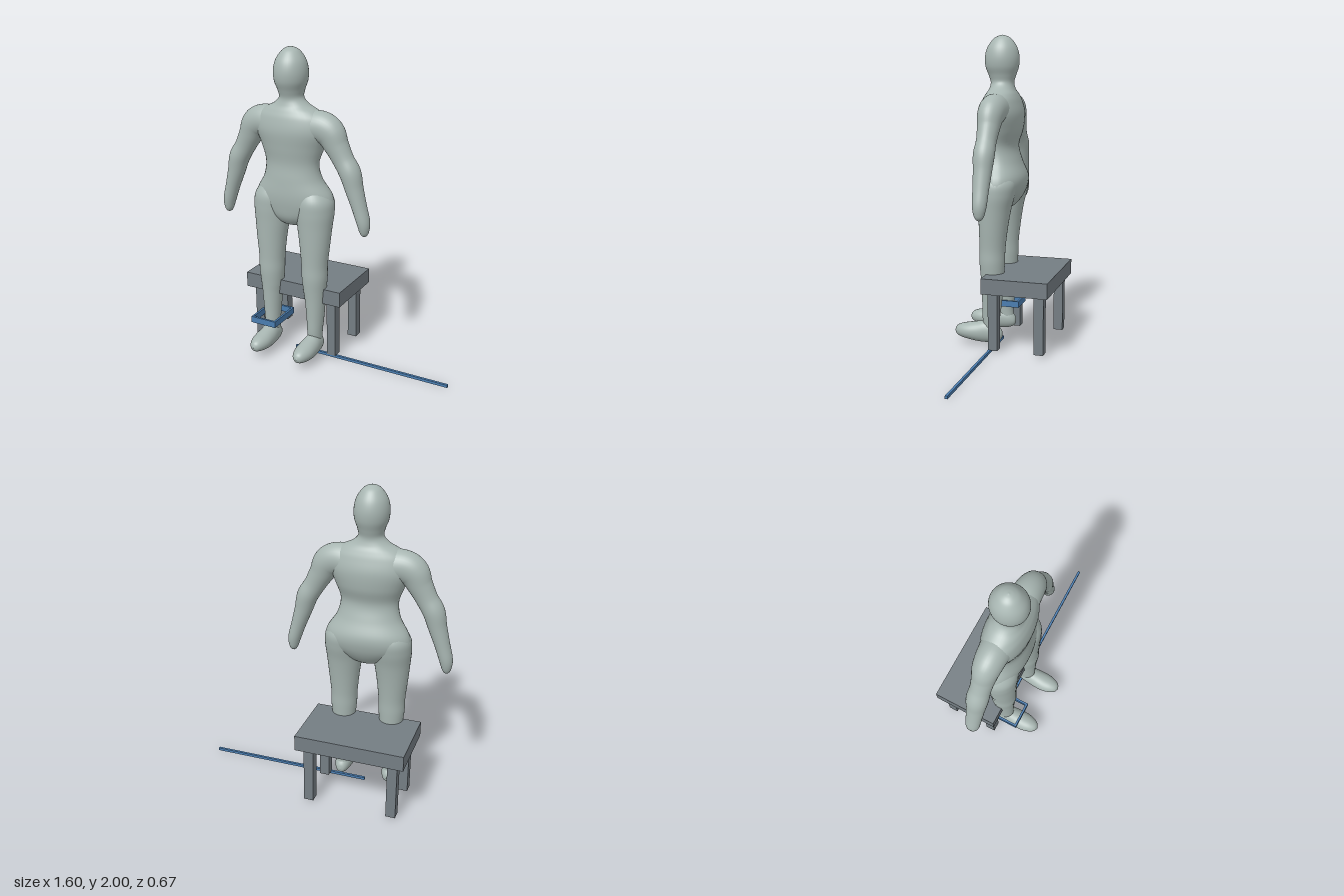
import * as THREE from 'three';

const mat = (name, color) => Object.assign(new THREE.MeshStandardMaterial({ color }), { name });
const MID = -0.275; // x of the figure's own centre line

// Smooth skin over elliptical rings. Each station: [x, y, z, radiusA, radiusB].
// 'depth' is the ring axis for radiusB; 'fixed' keeps all rings square to one direction.
function loft(stations, depth, fixed, steps = 6, sides = 36) {
  const path = new THREE.CatmullRomCurve3(stations.map(s => new THREE.Vector3(s[0], s[1], s[2])), false, 'catmullrom', 0.5);
  const radii = new THREE.CatmullRomCurve3(stations.map(s => new THREE.Vector3(s[3], s[4], 0)), false, 'catmullrom', 0.5);
  const n = (stations.length - 1) * steps;
  const pos = [], index = [];
  for (let i = 0; i <= n; i++) {
    const c = path.getPoint(i / n), r = radii.getPoint(i / n);
    const t = fixed || path.getTangent(i / n);
    const a = new THREE.Vector3().crossVectors(depth, t).normalize();
    for (let j = 0; j < sides; j++) {
      const u = j / sides * Math.PI * 2;
      const p = c.clone()
        .addScaledVector(a, Math.cos(u) * Math.max(r.x, 0.001))
        .addScaledVector(depth, Math.sin(u) * Math.max(r.y, 0.001));
      pos.push(p.x, p.y, p.z);
      if (i < n) {
        const k = (j + 1) % sides, lo = i * sides, hi = lo + sides;
        index.push(lo + j, lo + k, hi + k, lo + j, hi + k, hi + j);
      }
    }
  }
  const g = new THREE.BufferGeometry();
  g.setAttribute('position', new THREE.Float32BufferAttribute(pos, 3));
  g.setIndex(index);
  g.computeVertexNormals();
  return g;
}

export function createModel() {
  const model = new THREE.Group();
  const skin = mat('paleGrey', 0xa8b6b2);
  const slate = mat('slateGrey', 0x747d83);
  const blue = mat('blue', 0x4a7db0);
  const X = new THREE.Vector3(1, 0, 0), Y = new THREE.Vector3(0, 1, 0), Z = new THREE.Vector3(0, 0, 1);

  const add = (parent, name, geometry, material) => {
    const m = new THREE.Mesh(geometry, material);
    m.name = name;
    parent.add(m);
    return m;
  };
  // Box given by its low and high limits on each axis
  const box = (parent, name, material, x0, x1, y0, y1, z0, z1) =>
    add(parent, name, new THREE.BoxGeometry(x1 - x0, y1 - y0, z1 - z0), material)
      .position.set((x0 + x1) / 2, (y0 + y1) / 2, (z0 + z1) / 2);

  // Figure
  const figure = new THREE.Group();
  figure.name = 'figure';
  figure.position.x = MID;
  model.add(figure);

  // Torso, neck and head: [height, half width, back z, front z]
  const trunk = [
    [0.885, 0.002, 0.05, 0.06], [0.90, 0.08, -0.01, 0.11], [0.95, 0.18, -0.06, 0.15],
    [1.02, 0.262, -0.095, 0.167], [1.10, 0.258, -0.105, 0.175], [1.20, 0.198, -0.07, 0.17],
    [1.30, 0.18, -0.045, 0.162], [1.40, 0.212, -0.072, 0.174], [1.50, 0.25, -0.08, 0.184],
    [1.58, 0.235, -0.062, 0.172], [1.625, 0.185, -0.045, 0.155], [1.66, 0.115, -0.028, 0.138],
    [1.70, 0.077, -0.02, 0.13], [1.745, 0.082, -0.032, 0.143], [1.80, 0.101, -0.05, 0.164],
    [1.86, 0.105, -0.054, 0.168], [1.92, 0.092, -0.04, 0.153], [1.97, 0.06, -0.008, 0.118],
    [1.992, 0.03, 0.025, 0.086], [2.0, 0.001, 0.054, 0.056],
  ];
  add(figure, 'torsoAndHead', loft(trunk.map(([y, w, b, f]) => [0, y, (b + f) / 2, w, (f - b) / 2]), Z, Y), skin);

  for (const s of [1, -1]) {
    const side = s > 0 ? 'left' : 'right';

    // Arm from inside the chest to the fingertips
    const arm = [
      [0.08, 1.515, 0.11, 0.10], [0.19, 1.535, 0.10, 0.09], [0.26, 1.505, 0.095, 0.082],
      [0.305, 1.43, 0.076, 0.07], [0.35, 1.35, 0.066, 0.062], [0.395, 1.275, 0.066, 0.066],
      [0.423, 1.18, 0.056, 0.058], [0.458, 1.07, 0.046, 0.05], [0.485, 0.98, 0.041, 0.045],
      [0.492, 0.925, 0.031, 0.034], [0.492, 0.897, 0.018, 0.02], [0.491, 0.885, 0.001, 0.001],
    ];
    add(figure, side + 'Arm', loft(arm.map(([x, y, a, b]) => [s * x, y, 0.052, a, b]), Z), skin);

    // Leg from ankle to hip: [x, y, half width, back z, front z]
    const leg = [
      [0.16, 0.09, 0.045, 0.02, 0.12], [0.16, 0.17, 0.048, 0.025, 0.137], [0.161, 0.28, 0.056, 0.012, 0.14],
      [0.16, 0.40, 0.066, 0.002, 0.145], [0.158, 0.47, 0.074, -0.002, 0.15], [0.158, 0.56, 0.083, -0.007, 0.157],
      [0.157, 0.65, 0.085, -0.01, 0.156], [0.157, 0.78, 0.098, -0.025, 0.16], [0.154, 0.90, 0.112, -0.045, 0.164],
      [0.152, 1.0, 0.122, -0.07, 0.168], [0.148, 1.08, 0.115, -0.075, 0.162], [0.13, 1.16, 0.07, -0.03, 0.12],
    ];
    add(figure, side + 'Leg', loft(leg.map(([x, y, w, b, f]) => [s * x, y, (b + f) / 2, w, (f - b) / 2]), Z, Y), skin);

    // Foot from heel to toe: [z, half width, bottom y, top y]
    const foot = [
      [0.005, 0.001, 0.075, 0.077], [0.015, 0.027, 0.048, 0.11], [0.05, 0.046, 0.03, 0.15],
      [0.11, 0.056, 0.021, 0.168], [0.17, 0.062, 0.023, 0.156], [0.23, 0.062, 0.032, 0.144],
      [0.28, 0.05, 0.042, 0.133], [0.315, 0.03, 0.058, 0.116], [0.33, 0.001, 0.085, 0.087],
    ];
    add(figure, side + 'Foot', loft(foot.map(([z, w, b, t]) => [s * 0.16, (b + t) / 2, z, (t - b) / 2, w]), X, Z), skin);
  }

  // Low table behind the figure
  const table = new THREE.Group();
  table.name = 'table';
  model.add(table);
  box(table, 'tableTop', slate, -0.623, 0.07, 0.392, 0.492, -0.335, 0.094);
  for (const x of [-0.547, -0.008])
    for (const z of [-0.27, 0.03])
      box(table, 'tableLeg', slate, x - 0.031, x + 0.031, 0.014, 0.392, z - 0.031, z + 0.031);

  // Open rectangular band around the right shin
  const band = new THREE.Group();
  band.name = 'shinBand';
  model.add(band);
  const [bx0, bx1, bz0, bz1, w] = [-0.524, -0.343, -0.037, 0.207, 0.014];
  box(band, 'bandFront', blue, bx0, bx1, 0.197, 0.239, bz1 - w, bz1);
  box(band, 'bandBack', blue, bx0, bx1, 0.197, 0.239, bz0, bz0 + w);
  box(band, 'bandRight', blue, bx0, bx0 + w, 0.197, 0.239, bz0 + w, bz1 - w);
  box(band, 'bandLeft', blue, bx1 - w, bx1, 0.197, 0.239, bz0 + w, bz1 - w);

  // Thin rod lying on the ground
  box(model, 'groundRod', blue, -0.275, 0.797, 0, 0.018, 0.042, 0.058);

  return model;
}
